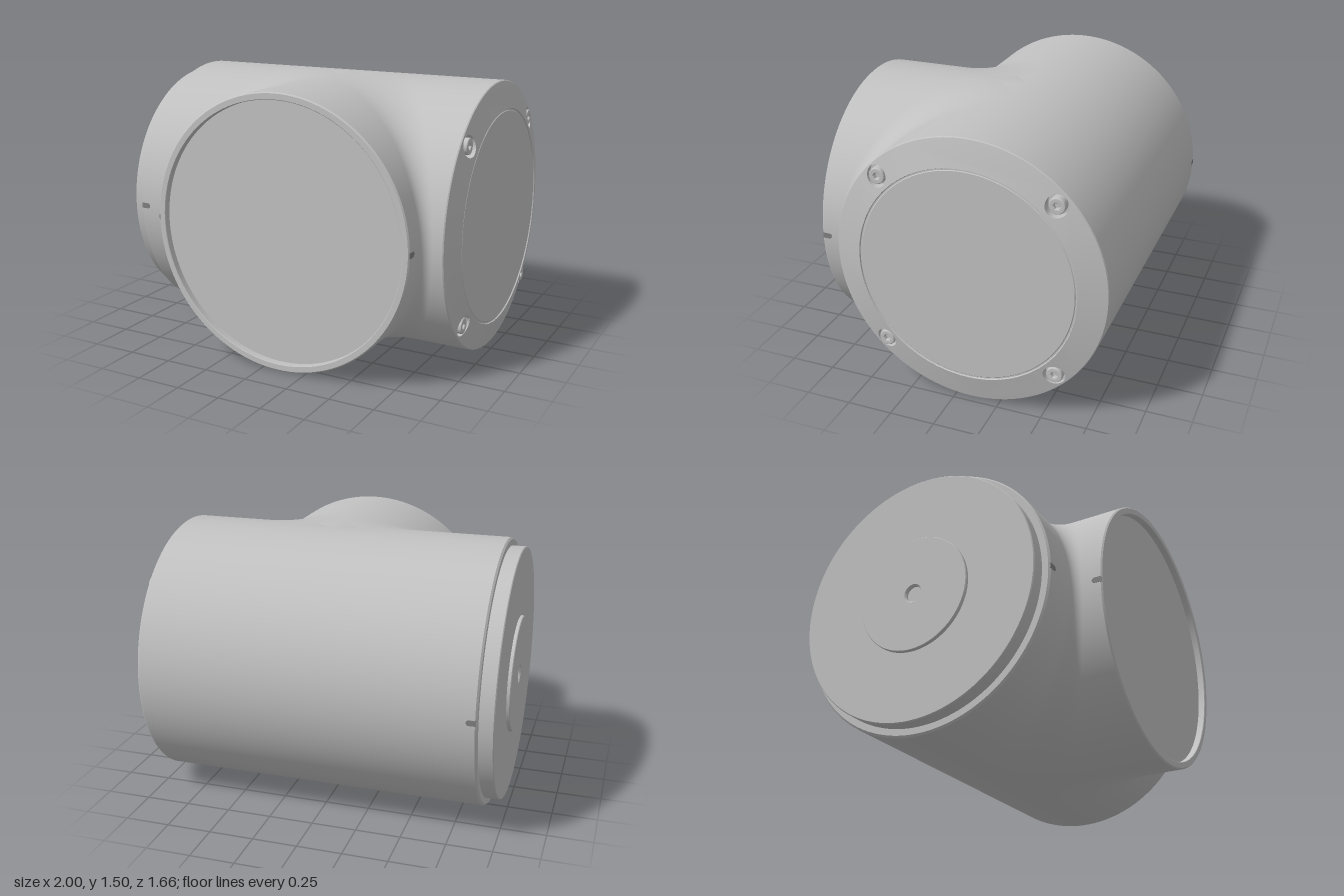
import * as THREE from 'three';
import { toCreasedNormals } from 'three/addons/utils/BufferGeometryUtils.js';

const R = 0.75;            // radius of both tubes
const CY = 0.75;           // height of both axes
const CZ = -0.083;         // z of the main axis
const BX = 0.1;            // x of the branch axis
const SEG = 128;

export function createModel() {
  const metal = new THREE.MeshStandardMaterial({ color: 0xc0c0c0 });
  metal.name = 'light grey metal';
  const dark = new THREE.MeshStandardMaterial({ color: 0x808080 });
  dark.name = 'slot grey';

  const model = new THREE.Group();
  const add = (name, geometry, material = metal, parent = model) => {
    const mesh = new THREE.Mesh(geometry, material);
    mesh.name = name;
    parent.add(mesh);
    return mesh;
  };
  // Turned part from [radius, position along axis] pairs; axis along z
  const turned = (profile, segments = SEG) =>
    toCreasedNormals(
      new THREE.LatheGeometry(profile.map(p => new THREE.Vector2(...p)), segments).rotateX(Math.PI / 2), 0.5);

  // Everything on the main axis is built along z, then turned to face +x
  const main = new THREE.Group();
  main.name = 'mainTube';
  main.position.set(0, CY, CZ);
  main.rotation.y = Math.PI / 2;
  model.add(main);

  add('mainBody', turned([[0.7, -0.9], [0.74, -0.9], [R, -0.89], [R, 0.955], [0.746, 0.961]]), metal, main);
  add('endStep', turned([[0, -0.98], [0.7, -0.98], [0.705, -0.975], [0.705, -0.89]]), metal, main);
  add('endBoss', turned([[0, -0.965], [0.045, -0.965], [0.045, -0.992], [0.053, -1], [0.321, -1],
    [0.325, -0.996], [0.325, -0.975]]), metal, main);

  // Conical cover ring with four screw holes
  const coneZ = r => 0.961 + (0.746 - r) * 0.26;
  const screwSpots = [[1, 1], [1, -1], [-1, 1], [-1, -1]].map(([a, b]) => [a * 0.48, b * 0.48]);
  const ringShape = new THREE.Shape().absarc(0, 0, 0.746, 0, Math.PI * 2);
  ringShape.holes.push(new THREE.Path().absarc(0, 0, 0.6, 0, Math.PI * 2, true));
  for (const [x, y] of screwSpots) {
    ringShape.holes.push(new THREE.Path().absarc(x, y, 0.058, 0, Math.PI * 2, true));
  }
  const ring = new THREE.ShapeGeometry(ringShape, 64);
  const rp = ring.attributes.position;
  for (let i = 0; i < rp.count; i++) {
    const x = rp.getX(i), y = rp.getY(i), r = Math.hypot(x, y);
    rp.setZ(i, coneZ(r));
    const n = new THREE.Vector3(x / r * 0.26, y / r * 0.26, 1).normalize();
    ring.attributes.normal.setXYZ(i, n.x, n.y, n.z);
  }
  add('coverRing', ring, metal, main);
  add('coverPanel', turned([[0.601, 0.999], [0.597, 0.992], [0.59, 0.992], [0.586, 0.996], [0, 0.996]]), metal, main);

  // Button screws with hexagonal sockets, sunk in bores
  const headShape = new THREE.Shape().absarc(0, 0, 0.038, 0, Math.PI * 2);
  const hex = new THREE.Path();
  for (let i = 0; i < 6; i++) {
    const a = -i * Math.PI / 3;
    hex[i ? 'lineTo' : 'moveTo'](0.024 * Math.cos(a), 0.024 * Math.sin(a));
  }
  hex.closePath();
  headShape.holes.push(hex);
  const head = new THREE.ExtrudeGeometry(headShape, {
    depth: 0.035, bevelThickness: 0.008, bevelSize: 0.006, bevelSegments: 3, curveSegments: 16 });

  screwSpots.forEach(([x, y]) => {
    const bore = turned([[0.058, 0.98], [0.058, 0.935], [0, 0.935]], 64).translate(x, y, 0);
    const bp = bore.attributes.position;
    for (let i = 0; i < bp.count; i++) {
      if (bp.getZ(i) > 0.95) bp.setZ(i, coneZ(Math.hypot(bp.getX(i), bp.getY(i))));
    }
    add('screwBore', bore, metal, main);
    add('screwHead', head, metal, main).position.set(x, y, 0.938);
    add('screwSocketFloor', new THREE.CircleGeometry(0.03, 16), metal, main).position.set(x, y, 0.958);
  });

  // Branch tube with a recessed front face
  add('branchTube', turned([[R, 0], [R, 0.905], [0.743, 0.913], [0.713, 0.913], [0.71, 0.91],
    [0.71, 0.875], [0, 0.875]])).position.set(BX, CY, CZ);

  // Concave blends between the tubes, lofted from horizontal arcs
  const blend = side => {
    const rows = 96, cols = 12, pos = [], idx = [];
    for (let i = 0; i <= rows; i++) {
      const phi = (i / rows - 0.5) * Math.PI;
      const w = R * Math.cos(phi), r = 0.05 + 0.27 * (1 - w / R);
      for (let j = 0; j <= cols; j++) {
        const t = j / cols * Math.PI / 2;
        pos.push(side * (w + r - r * Math.sin(t)), R * Math.sin(phi), w + r - r * Math.cos(t));
        if (i < rows && j < cols) {
          const a = i * (cols + 1) + j, b = a + 1, c = a + cols + 1, d = c + 1;
          if (side > 0) idx.push(a, c, b, b, c, d);
          else idx.push(a, b, c, b, d, c);
        }
      }
    }
    const g = new THREE.BufferGeometry();
    g.setAttribute('position', new THREE.Float32BufferAttribute(pos, 3));
    g.setIndex(idx);
    // Orient the strip so that it faces forward and outward
    g.computeVertexNormals();
    const mid = (rows / 2) * (cols + 1) + cols / 2;
    if (g.attributes.normal.getZ(mid) < 0) {
      g.setIndex(idx.reverse());
      g.computeVertexNormals();
    }
    return g;
  };
  for (const side of [1, -1]) {
    add(side > 0 ? 'leftBlend' : 'rightBlend', blend(side)).position.set(BX, CY, CZ);
  }

  // Alignment slots: round-ended thin plates running in from each tube's rim
  const slotShape = new THREE.Shape();
  slotShape.moveTo(0, -0.015);
  slotShape.lineTo(0.037, -0.015);
  slotShape.absarc(0.037, 0, 0.015, -Math.PI / 2, Math.PI / 2);
  slotShape.lineTo(0, 0.015);
  const slot = new THREE.ExtrudeGeometry(slotShape, { depth: 0.006, bevelEnabled: false }).translate(0, 0, -0.004);
  add('frontSlot', slot, dark).position.set(-0.895, CY + 0.005, CZ + R);
  const back = add('backSlot', slot, dark);
  back.position.set(-0.895, CY + 0.005, CZ - R);
  back.rotation.x = Math.PI;
  const left = add('branchLeftSlot', slot, dark);
  left.position.set(BX + R, CY + 0.005, 0.825);
  left.rotation.y = Math.PI / 2;
  const right = add('branchRightSlot', slot.clone().rotateX(Math.PI), dark);
  right.position.set(BX - R, CY + 0.005, 0.825);
  right.rotation.y = Math.PI / 2;

  return model;
}
